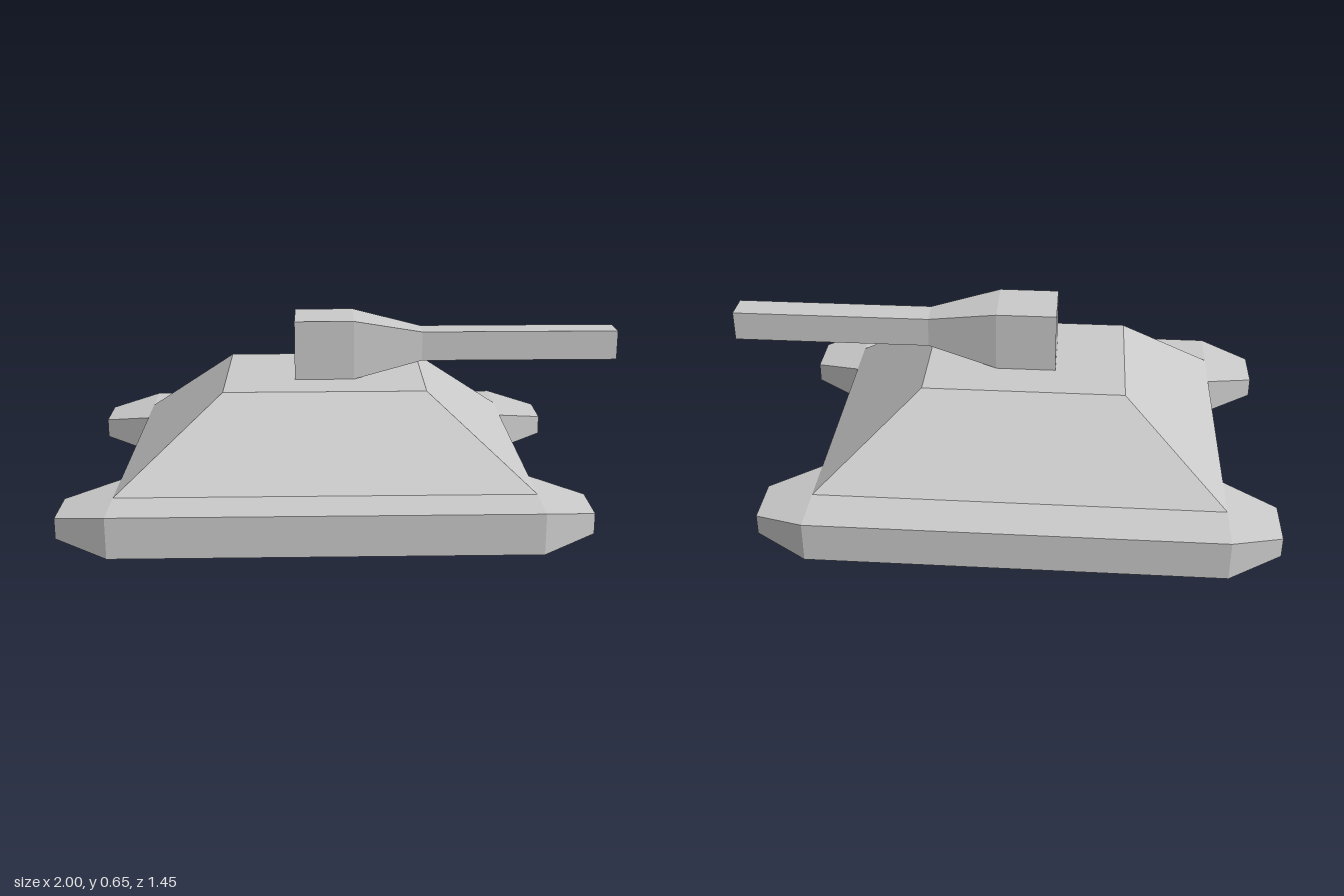
import * as THREE from 'three';

const material = new THREE.MeshStandardMaterial({ color: 0xcccccc, flatShading: true });

// Joins rectangular sections [t, a0, a1, b0, b1] into a closed solid.
// Along 'x': (t, a, b) = (x, y, z). Along 'y': (t, a, b) = (y, z, x).
function loft(name, sections, axis = 'x') {
  const positions = [];
  const indices = [];
  const quad = (a, b, c, d) => indices.push(a, b, c, a, c, d);
  sections.forEach(([t, a0, a1, b0, b1], s) => {
    for (const [a, b] of [[a0, b0], [a1, b0], [a1, b1], [a0, b1]]) {
      positions.push(...(axis === 'x' ? [t, a, b] : [b, t, a]));
    }
    if (s === 0) return;
    const p = (s - 1) * 4, q = s * 4;
    for (let i = 0; i < 4; i++) {
      const j = (i + 1) % 4;
      quad(p + i, p + j, q + j, q + i);
    }
  });
  const last = (sections.length - 1) * 4;
  quad(0, 3, 2, 1);
  quad(last, last + 1, last + 2, last + 3);

  const indexed = new THREE.BufferGeometry();
  indexed.setAttribute('position', new THREE.Float32BufferAttribute(positions, 3));
  indexed.setIndex(indices);
  const geometry = indexed.toNonIndexed();
  geometry.computeVertexNormals();
  const mesh = new THREE.Mesh(geometry, material);
  mesh.name = name;
  return mesh;
}

export function createModel() {
  const model = new THREE.Group();
  model.name = 'tank';

  // Sloped hull, raised between the tracks
  model.add(loft('hull', [
    [0.145, -0.545, 0.545, -0.817, 0.633],
    [0.437, -0.273, 0.273, -0.456, 0.271],
  ], 'y'));

  // Tracks with tapered ends
  for (const [name, side] of [['frontTrack', 1], ['backTrack', -1]]) {
    const track = loft(name, [
      [-1, 0.036, 0.109, -0.091, 0.091],
      [-0.817, 0, 0.145, -0.181, 0.181],
      [0.633, 0, 0.145, -0.181, 0.181],
      [0.814, 0.036, 0.109, -0.091, 0.091],
    ]);
    track.position.z = side * 0.545;
    model.add(track);
  }

  // Turret narrowing into the gun barrel
  model.add(loft('turretAndBarrel', [
    [-0.202, 0.437, 0.655, -0.109, 0.109],
    [0.016, 0.437, 0.655, -0.109, 0.109],
    [0.271, 0.492, 0.601, -0.054, 0.054],
    [1, 0.492, 0.601, -0.054, 0.054],
  ]));

  return model;
}
